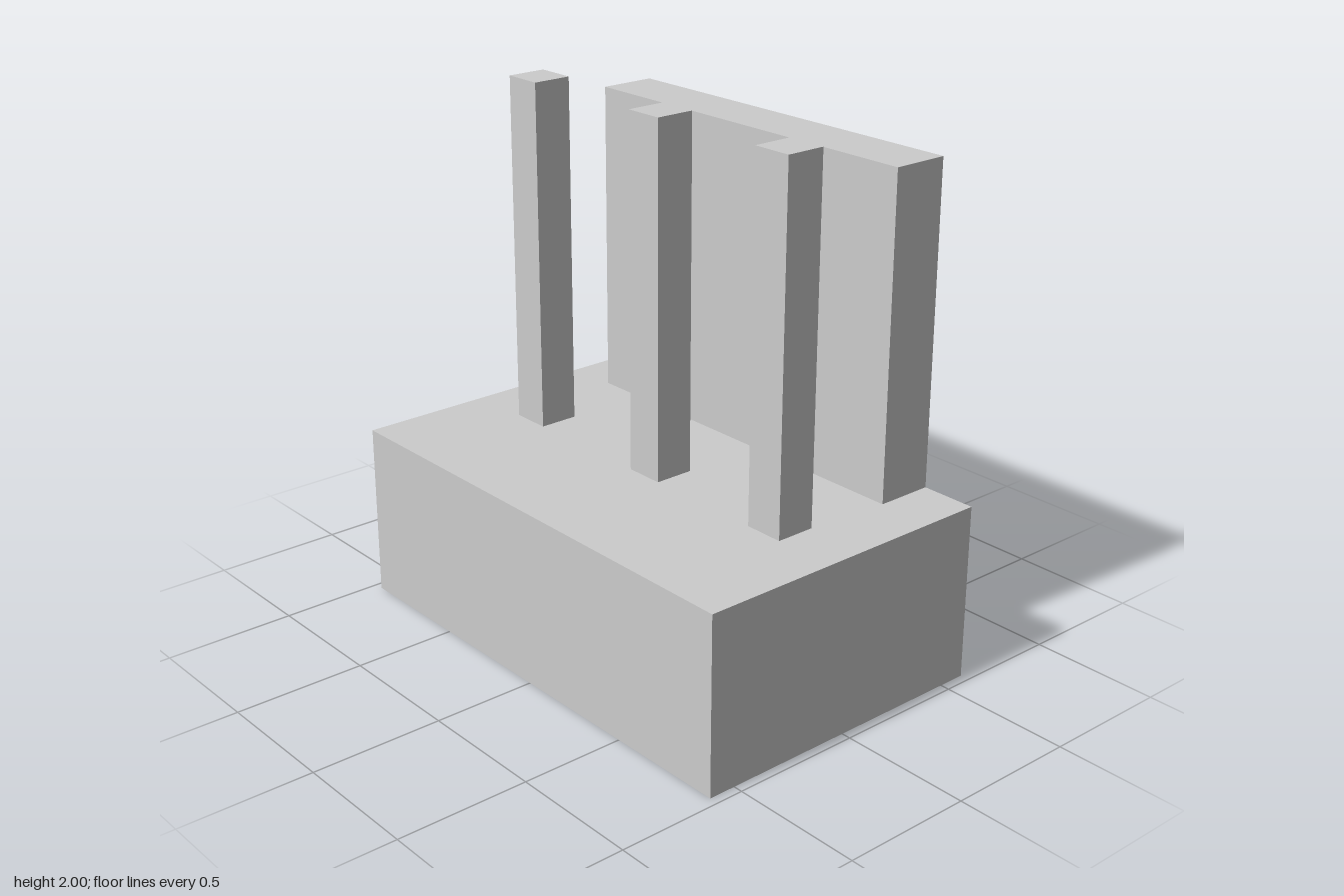
import * as THREE from 'three';

const material = new THREE.MeshStandardMaterial({ color: 0xcccccc, flatShading: true, side: THREE.DoubleSide });

function addMesh(group, name, geometry) {
  const mesh = new THREE.Mesh(geometry, material);
  mesh.name = name;
  group.add(mesh);
  return mesh;
}

// Box between two corners, keeping only the listed sides (0 +x, 1 -x, 2 +y, 3 -y, 4 +z, 5 -z)
function shellBox([x0, y0, z0], [x1, y1, z1], sides) {
  const geometry = new THREE.BoxGeometry(x1 - x0, y1 - y0, z1 - z0);
  const index = Array.from(geometry.index.array);
  geometry.setIndex(sides.flatMap((s) => index.slice(s * 6, s * 6 + 6)));
  geometry.clearGroups();
  return geometry.translate((x0 + x1) / 2, (y0 + y1) / 2, (z0 + z1) / 2);
}

// Flat sheet from an outline
function sheet(points) {
  return new THREE.ShapeGeometry(new THREE.Shape(points.map(([x, y]) => new THREE.Vector2(x, y))));
}

export function createModel() {
  const group = new THREE.Group();
  const W = 0.965, D = 0.605, H = 0.67; // housing half width, half depth, height
  const left = 0.75, right = -0.765, panelTop = 1.88, panelFront = -0.385;

  // Hollow housing, open underneath
  addMesh(group, 'housingWalls', shellBox([-W, 0, -D], [W, H, D], [0, 1, 4]));

  // Housing top, notched where the panel rises out of it
  addMesh(group, 'housingTop', sheet([
    [-W, -D], [W, -D], [W, D], [left, D], [left, -panelFront],
    [right, -panelFront], [right, D], [-W, D],
  ]).rotateX(-Math.PI / 2).translate(0, H, 0));

  // One flush back face shared by housing and panel
  addMesh(group, 'backFace', sheet([
    [-W, 0], [W, 0], [W, H], [-right, H], [-right, panelTop],
    [-left, panelTop], [-left, H], [-W, H],
  ]).rotateY(Math.PI).translate(0, 0, -D));

  // Upright panel
  addMesh(group, 'backPanel', shellBox([right, H, -D], [left, panelTop, panelFront], [0, 1, 2, 4]));

  // Three square pins reaching a little into the housing
  [-0.65, 0.025, 0.65].forEach((x) => {
    addMesh(group, 'pin', shellBox([x - 0.076, 0.525, -0.062], [x + 0.076, 2, 0.09], [0, 1, 2, 4, 5]));
  });

  return group;
}
